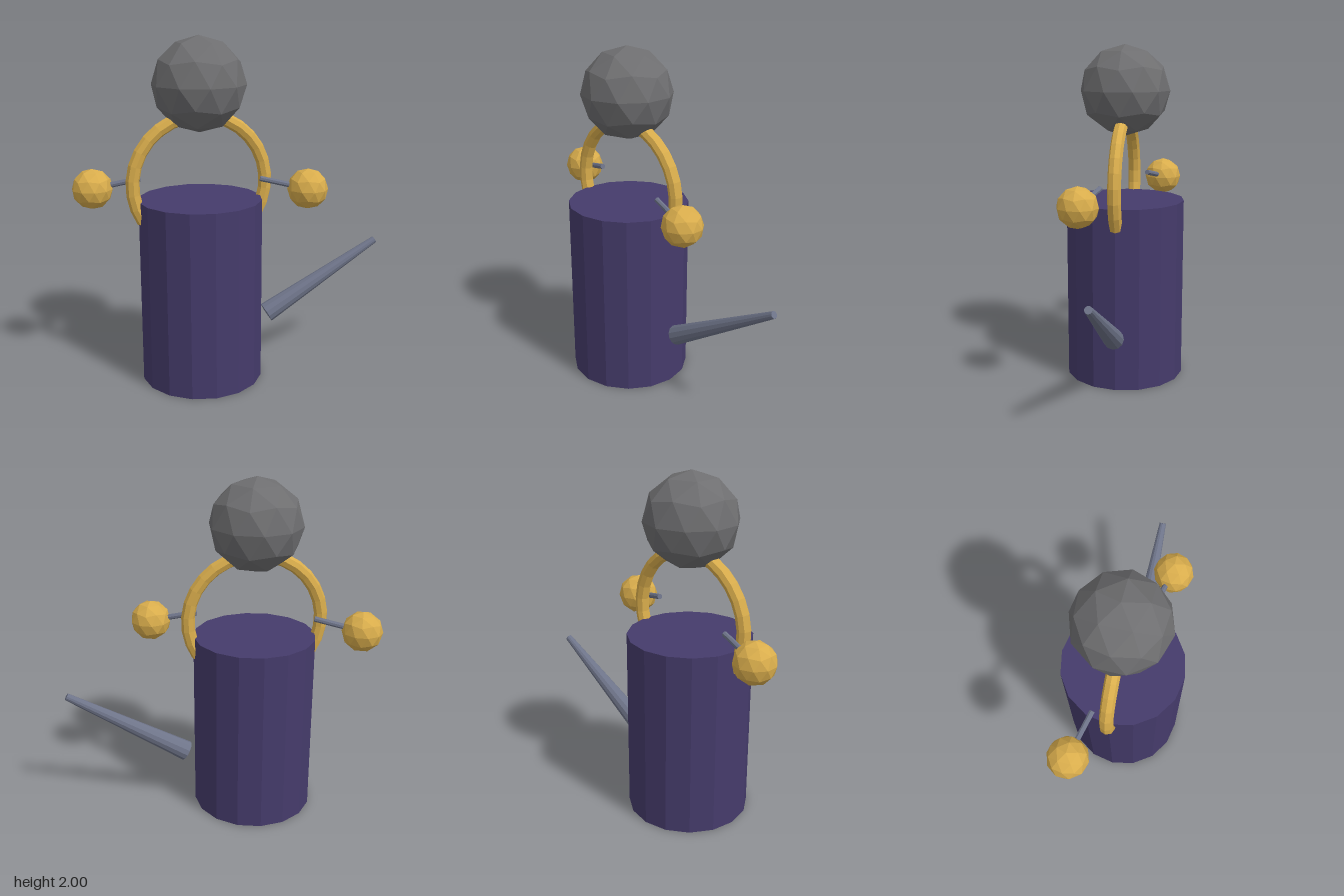
import * as THREE from 'three';

const paint = (color) => new THREE.MeshStandardMaterial({ color, flatShading: true });
const AXIS_X = -0.207; // x of the vessel's vertical axis

// Low-poly ball with a vertex at each pole
function ball(radius) {
  return new THREE.IcosahedronGeometry(radius, 1)
    .rotateX(-Math.atan((1 + Math.sqrt(5)) / 2))
    .rotateY(Math.PI / 2);
}

// Tapered round bar between two points
function bar(from, to, r0, r1, sides, material) {
  const dir = to.clone().sub(from);
  const mesh = new THREE.Mesh(new THREE.CylinderGeometry(r1, r0, dir.length(), sides), material);
  mesh.position.copy(from).add(to).multiplyScalar(0.5);
  mesh.quaternion.setFromUnitVectors(new THREE.Vector3(0, 1, 0), dir.normalize());
  return mesh;
}

export function createModel() {
  const model = new THREE.Group();
  const purple = paint(0x453b6b), gold = paint(0xd9ad4c), steel = paint(0x6e7489), grey = paint(0x6e6e70);
  const add = (name, mesh, x = 0, y = 0, z = 0) => {
    mesh.name = name;
    mesh.position.add(new THREE.Vector3(x, y, z));
    model.add(mesh);
  };

  // Vessel
  add('body', new THREE.Mesh(new THREE.CylinderGeometry(0.356, 0.356, 1.085, 16), purple), AXIS_X, 0.5425);

  // Arched handle, its ends dropping past the rim
  const dip = 0.55;
  const arch = new THREE.TorusGeometry(0.387, 0.039, 8, 20, Math.PI + 2 * dip).rotateZ(-dip);
  add('handle', new THREE.Mesh(arch, gold), AXIS_X, 1.175);

  // Large ball on top of the handle
  add('topBall', new THREE.Mesh(ball(0.267), grey), AXIS_X, 1.733);

  // Spout
  add('spout', bar(new THREE.Vector3(0.199, 0.336, 0), new THREE.Vector3(0.897, 0.744, 0), 0.06, 0.021, 12, steel));

  // Side arms with balls, opposite each other around the axis
  for (const [side, s] of [['left', 1], ['right', -1]]) {
    const inner = new THREE.Vector3(AXIS_X + s * 0.33, 1.2, s * 0.09);
    const outer = new THREE.Vector3(AXIS_X + s * 0.593, 1.14, s * 0.162);
    add(side + 'Arm', bar(inner, outer, 0.016, 0.016, 8, steel));
    add(side + 'Ball', new THREE.Mesh(ball(0.117), gold), outer.x, outer.y, outer.z);
  }
  return model;
}
